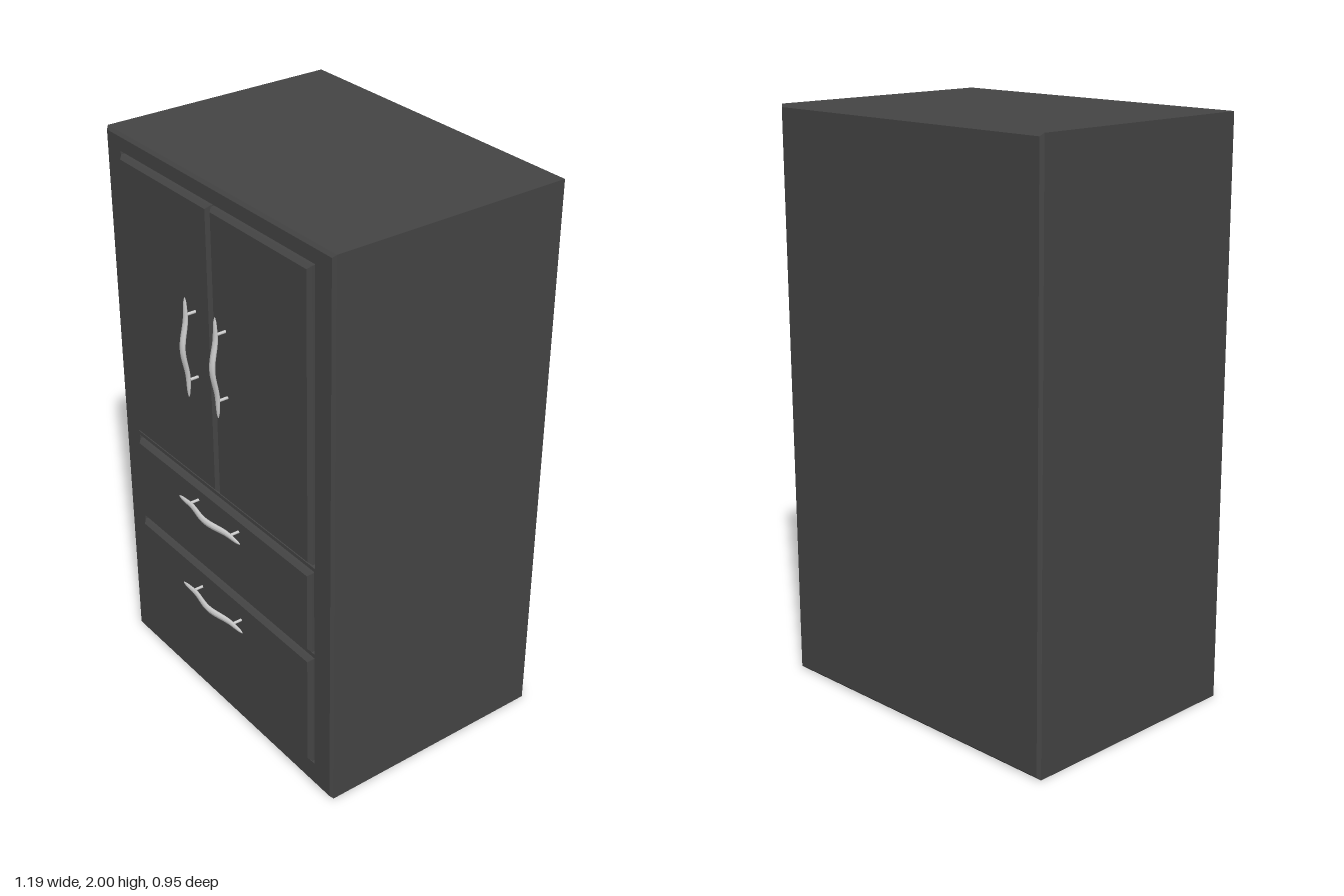
import * as THREE from 'three';

const dark = new THREE.MeshStandardMaterial({ color: 0x444444 });
const metal = new THREE.MeshStandardMaterial({ color: 0xcccccc });

const W = 0.597, FRONT = 0.4, BACK = -0.475, BEVEL = 0.01;

// Joins rectangular sections [inset, z] of the box x0..x1, y0..y1; the last section is closed
function loft([x0, x1, y0, y1], sections, capStart = false, capEnd = true) {
  const pos = [];
  const rings = sections.map(([d, z]) => [
    [x0 + d, y0 + d, z], [x1 - d, y0 + d, z], [x1 - d, y1 - d, z], [x0 + d, y1 - d, z],
  ]);
  const quad = (a, b, c, d) => pos.push(...a, ...b, ...c, ...a, ...c, ...d);
  for (let k = 0; k < rings.length - 1; k++) {
    const a = rings[k], b = rings[k + 1];
    for (let i = 0; i < 4; i++) quad(a[i], a[(i + 1) % 4], b[(i + 1) % 4], b[i]);
  }
  if (capStart) quad(...[...rings[0]].reverse());
  if (capEnd) quad(...rings[rings.length - 1]);
  const g = new THREE.BufferGeometry();
  g.setAttribute('position', new THREE.Float32BufferAttribute(pos, 3));
  g.computeVertexNormals();
  return g;
}

function add(parent, name, geometry, material) {
  const mesh = new THREE.Mesh(geometry, material);
  mesh.name = name;
  parent.add(mesh);
  return mesh;
}

function rectPath(Type, [x0, x1, y0, y1]) {
  return new Type([[x0, y0], [x1, y0], [x1, y1], [x0, y1]].map(([x, y]) => new THREE.Vector2(x, y)));
}

// Bowed, tapered grip on two posts, upright along y
function makeHandle(name) {
  const handle = new THREE.Group();
  handle.name = name;
  const half = 0.176, post = 0.117;
  const grip = new THREE.CylinderGeometry(1, 1, 2 * half, 12, 24);
  const p = grip.attributes.position;
  for (let i = 0; i < p.count; i++) {
    const y = p.getY(i), t = y / half;
    const taper = 0.2 + 0.8 * Math.sqrt(Math.max(0, 1 - t * t));
    const bow = Math.abs(y) < post ? 0.008 * (1 + Math.cos(Math.PI * y / post)) : 0;
    p.setX(i, p.getX(i) * 0.013 * taper);
    p.setZ(i, p.getZ(i) * 0.008 * taper + 0.452 + bow);
  }
  grip.computeVertexNormals();
  add(handle, 'grip', grip, metal);
  for (const s of [-1, 1]) {
    const stem = add(handle, 'handlePost', new THREE.CylinderGeometry(0.005, 0.005, 0.05, 10), metal);
    stem.rotation.x = Math.PI / 2;
    stem.position.set(0, s * post, 0.43);
  }
  return handle;
}

export function createModel() {
  const model = new THREE.Group();
  model.name = 'refrigerator';

  // Cabinet shell with chamfered edges, open at the front
  const outer = [-W, W, 0, 2];
  add(model, 'cabinet', loft(outer, [
    [BEVEL, BACK], [0, BACK + BEVEL], [0, FRONT - BEVEL], [BEVEL, FRONT],
  ], true, false), dark);

  // Front face with shallow recesses for the doors and drawers
  const recesses = [
    [-0.51, 0.51, 0.9, 1.942],
    [-0.505, 0.505, 0.56, 0.887],
    [-0.505, 0.505, 0.093, 0.545],
  ];
  const face = rectPath(THREE.Shape, [-W + BEVEL, W - BEVEL, BEVEL, 2 - BEVEL]);
  for (const r of recesses) {
    face.holes.push(rectPath(THREE.Path, r));
    add(model, 'recess', loft(r, [[0, FRONT], [0.004, FRONT - 0.015]]), dark);
  }
  add(model, 'frontFrame', new THREE.ShapeGeometry(face).translate(0, 0, FRONT), dark);

  // Bevelled door and drawer panels
  const panels = {
    rightDoor: [-0.502, -0.003, 0.912, 1.934],
    leftDoor: [0.003, 0.502, 0.912, 1.934],
    upperDrawer: [-0.498, 0.498, 0.567, 0.877],
    lowerDrawer: [-0.498, 0.498, 0.102, 0.535],
  };
  for (const [name, rect] of Object.entries(panels)) {
    add(model, name, loft(rect, [[0, FRONT - 0.015], [0, FRONT + 0.003], [0.011, FRONT + 0.015]]), dark);
  }

  // Upright door handles and level drawer handles
  for (const [name, x] of [['rightDoorHandle', -0.088], ['leftDoorHandle', 0.077]]) {
    const handle = makeHandle(name);
    handle.position.set(x, 1.433, 0);
    model.add(handle);
  }
  for (const [name, y] of [['upperDrawerHandle', 0.826], ['lowerDrawerHandle', 0.463]]) {
    const handle = makeHandle(name);
    handle.rotation.z = Math.PI / 2;
    handle.position.set(-0.002, y, 0);
    model.add(handle);
  }
  return model;
}
